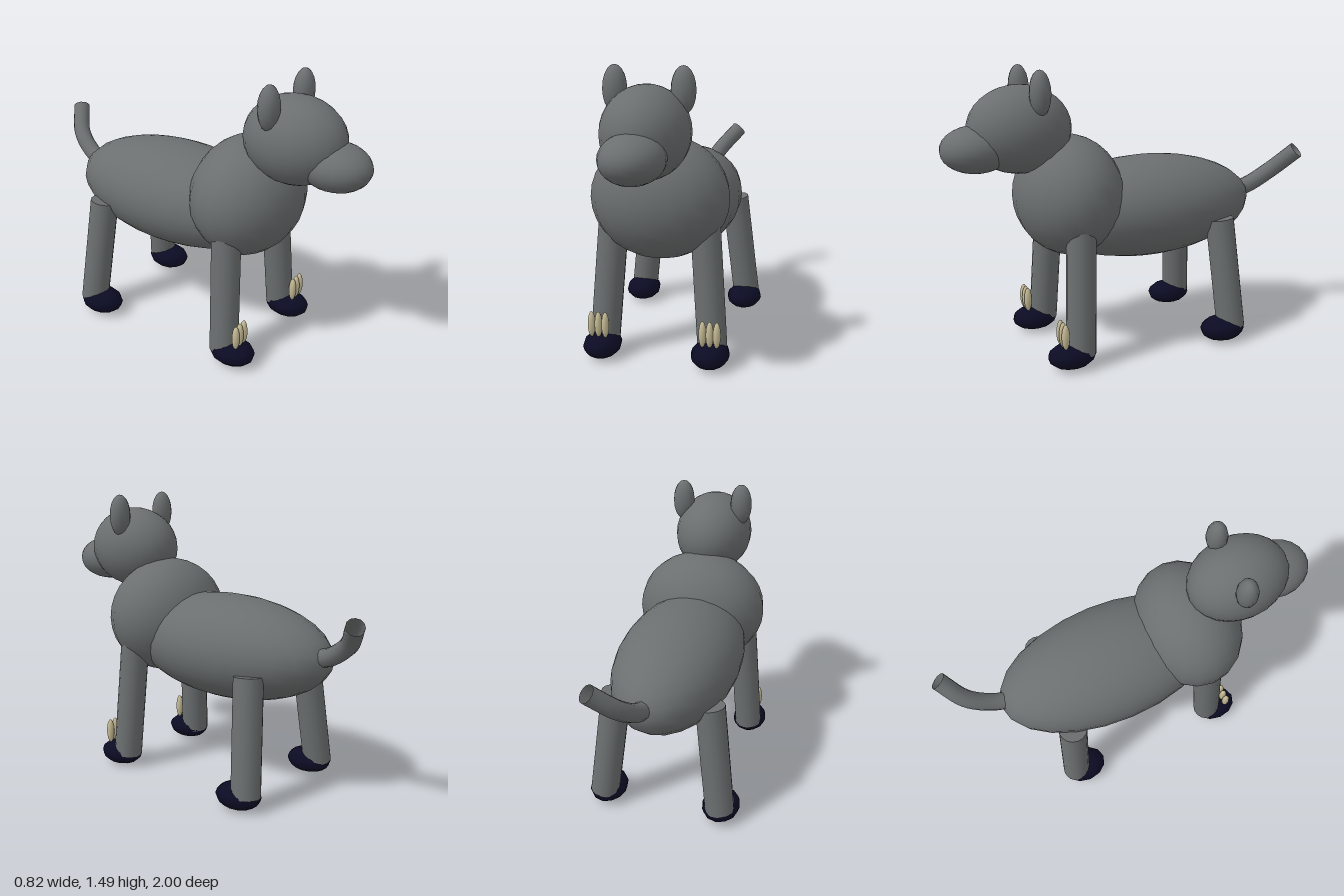
import * as THREE from 'three';

export function createModel() {
  const model = new THREE.Group();
  model.name = 'animal';

  const makeMaterial = (name, color) => {
    const m = new THREE.MeshStandardMaterial({ color });
    m.name = name;
    return m;
  };
  const fur = makeMaterial('grey fur', 0x6b6f6f);
  const paw = makeMaterial('dark paw', 0x0b0b24);
  const claw = makeMaterial('ivory claw', 0xc4b994);
  const tailFur = makeMaterial('grey tail fur', 0x6b6f6f);
  tailFur.side = THREE.DoubleSide;

  const add = (name, geometry, material) => {
    const mesh = new THREE.Mesh(geometry, material);
    mesh.name = name;
    model.add(mesh);
    return mesh;
  };

  // Smooth ellipsoid from centre and radii
  const ellipsoid = (name, material, center, radii, w = 24, h = 16) => {
    const g = new THREE.SphereGeometry(1, w, h);
    g.scale(...radii);
    const mesh = add(name, g, material);
    mesh.position.set(...center);
    return mesh;
  };

  // Straight limb between two points
  const limb = (name, top, bottom, radius) => {
    const a = new THREE.Vector3(...top);
    const b = new THREE.Vector3(...bottom);
    const axis = a.clone().sub(b);
    const mesh = add(name, new THREE.CylinderGeometry(radius, radius, axis.length(), 16), fur);
    mesh.position.copy(a).add(b).multiplyScalar(0.5);
    mesh.quaternion.setFromUnitVectors(new THREE.Vector3(0, 1, 0), axis.normalize());
  };

  // Torso and head
  ellipsoid('body', fur, [0, 0.73, -0.1], [0.32, 0.27, 0.62]);
  ellipsoid('chest', fur, [0, 0.835, 0.35], [0.35, 0.31, 0.28], 20, 16);
  ellipsoid('head', fur, [0, 1.19, 0.6], [0.21, 0.22, 0.265]);
  ellipsoid('snout', fur, [0, 1.107, 0.82], [0.152, 0.118, 0.18], 20, 14);

  for (const [side, s] of [['left', 1], ['right', -1]]) {
    ellipsoid(side + 'Ear', fur, [s * 0.163, 1.38, 0.545], [0.06, 0.112, 0.053], 12, 10);

    // Legs lean outward, paws reach forward
    limb(side + 'FrontLeg', [s * 0.235, 0.7, 0.375], [s * 0.282, 0.07, 0.405], 0.076);
    limb(side + 'BackLeg', [s * 0.245, 0.67, -0.42], [s * 0.315, 0.075, -0.465], 0.076);
    ellipsoid(side + 'FrontPaw', paw, [s * 0.28, 0.07, 0.455], [0.097, 0.066, 0.125], 12, 8);
    ellipsoid(side + 'BackPaw', paw, [s * 0.31, 0.07, -0.415], [0.099, 0.066, 0.125], 12, 8);

    // Three claws above each front paw
    for (let i = -1; i <= 1; i++) {
      ellipsoid(side + 'Claw', claw, [s * (0.285 + i * 0.036), 0.19, 0.502], [0.02, 0.067, 0.021], 10, 10);
    }
  }

  // Upturned open-ended tail swinging to one side
  const tailPath = new THREE.CatmullRomCurve3([
    [0.01, 0.75, -0.62], [0.023, 0.775, -0.73], [0.07, 0.865, -0.865], [0.172, 0.985, -0.958],
  ].map((p) => new THREE.Vector3(...p)));
  add('tail', new THREE.TubeGeometry(tailPath, 16, 0.046, 12, false), tailFur);

  return model;
}
